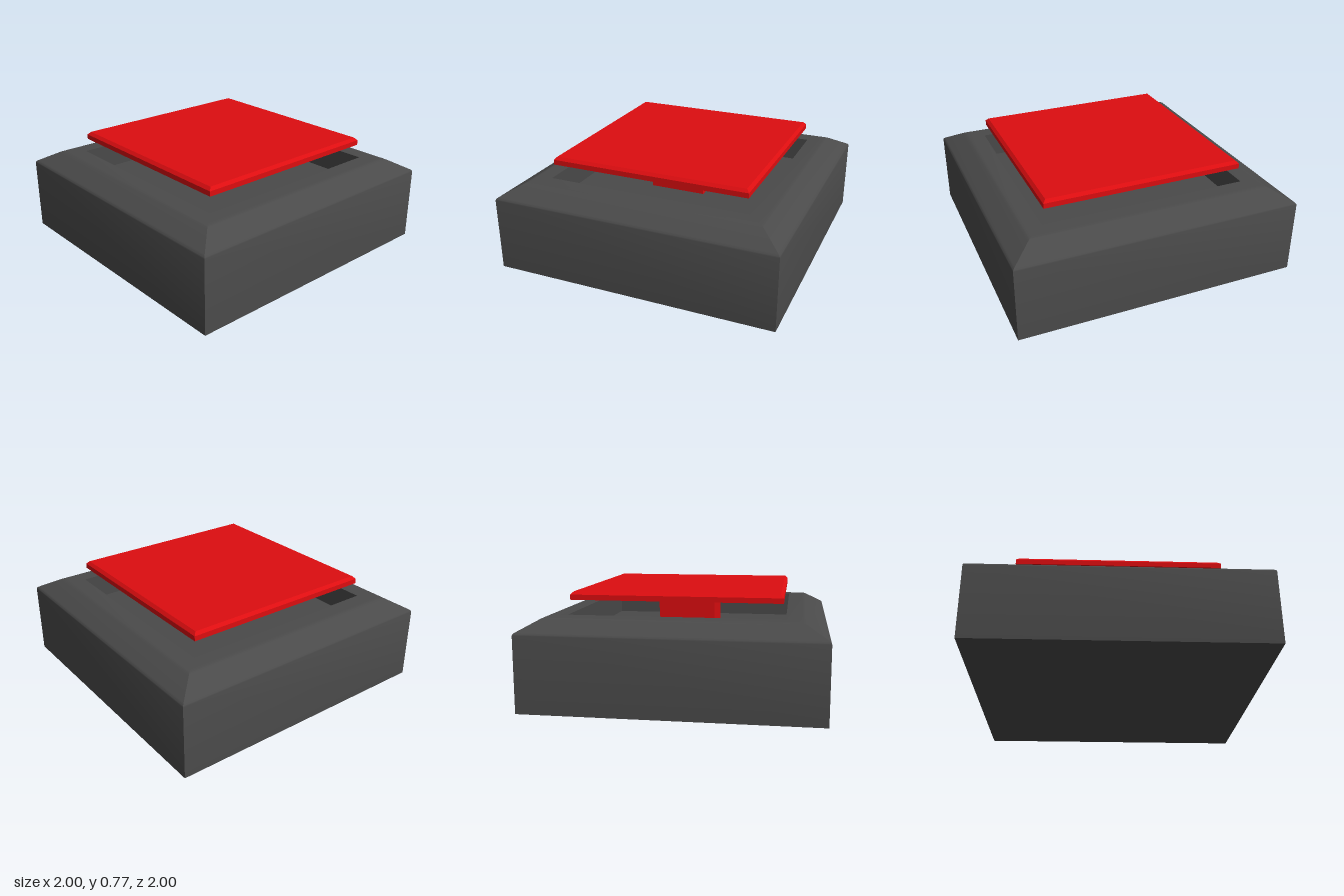
import * as THREE from 'three';
import { toCreasedNormals } from 'three/addons/utils/BufferGeometryUtils.js';

const grey = new THREE.MeshStandardMaterial({ color: 0x4a4a4a });
const red = new THREE.MeshStandardMaterial({ color: 0xdd0d10 });

// Sweeps a [half width, height] profile around a square, with mitred corners
function squareTurned(name, profile, material) {
  const points = profile.map(([w, y]) => new THREE.Vector2(w * Math.SQRT2, y));
  const geometry = new THREE.LatheGeometry(points, 4, Math.PI / 4);
  const mesh = new THREE.Mesh(toCreasedNormals(geometry, 0.5), material);
  mesh.name = name;
  return mesh;
}

export function createModel() {
  const model = new THREE.Group();
  model.name = 'pushButton';

  // Housing: straight sides, softened sloping shoulder, square recess in the top
  model.add(squareTurned('housing', [
    [0, 0], [1, 0],
    [1, 0.515], [0.997, 0.523], [0.992, 0.529], [0.983, 0.535],
    [0.863, 0.604], [0.845, 0.613], [0.825, 0.617],
    [0.72, 0.617], [0.72, 0.44], [0, 0.44],
  ], grey));

  // Square stem rising from the recess floor
  const stem = new THREE.Mesh(new THREE.BoxGeometry(0.4, 0.29, 0.4), red);
  stem.name = 'stem';
  stem.position.y = 0.44 + 0.145;
  model.add(stem);

  // Wide flat cap with a small bevel around its upper edge
  model.add(squareTurned('cap', [
    [0, 0.715], [0.705, 0.715], [0.705, 0.75], [0.685, 0.77], [0, 0.77],
  ], red));

  return model;
}
